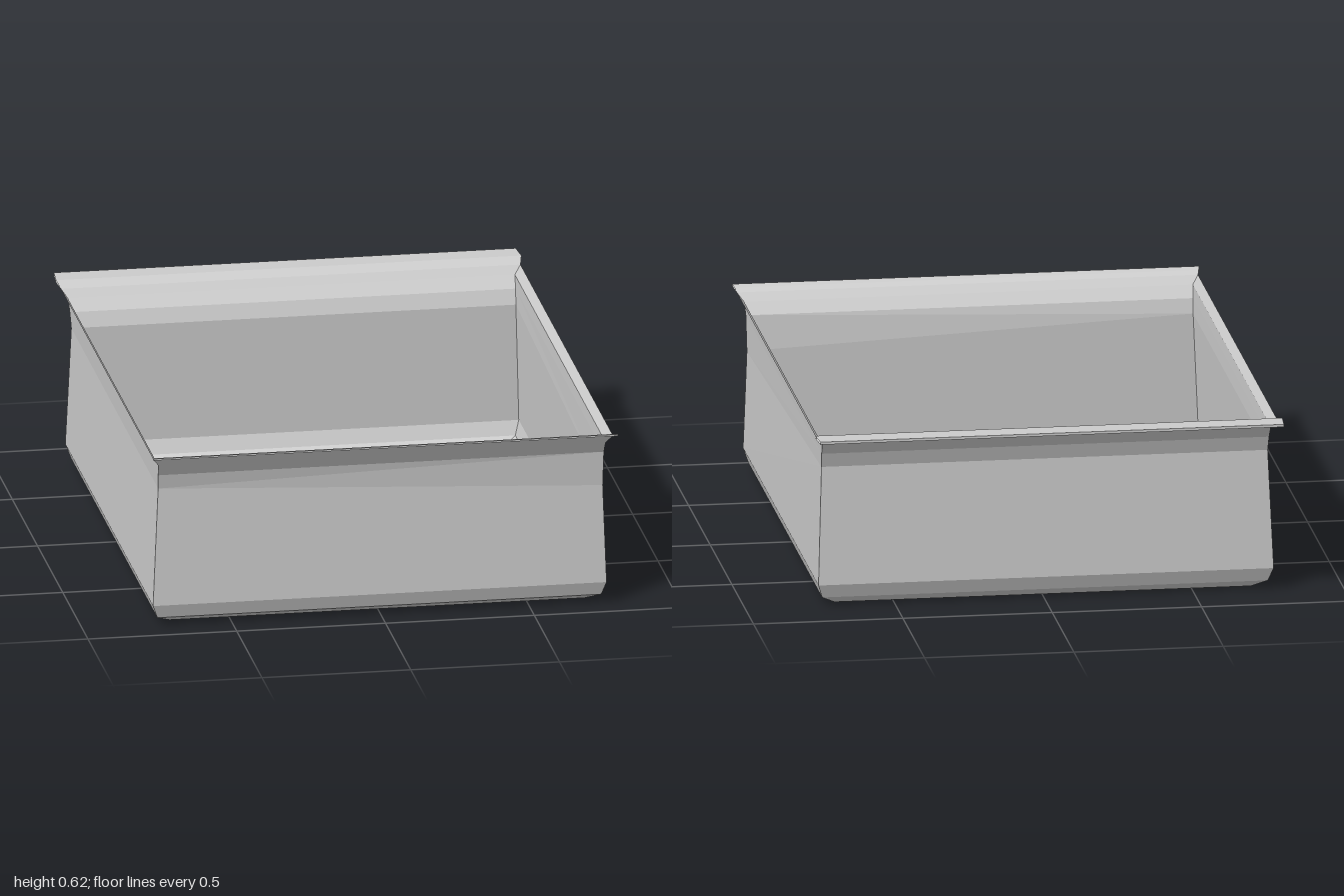
import * as THREE from 'three';

const material = new THREE.MeshStandardMaterial({
  color: 0xcccccc, flatShading: true, side: THREE.DoubleSide,
});

// Collects quads (corners counter-clockwise seen from outside) into one mesh.
function quadMesh(name, quads) {
  const pos = [];
  for (const [a, b, c, d] of quads) pos.push(...a, ...b, ...c, ...a, ...c, ...d);
  const geometry = new THREE.BufferGeometry();
  geometry.setAttribute('position', new THREE.Float32BufferAttribute(pos, 3));
  geometry.computeVertexNormals();
  const mesh = new THREE.Mesh(geometry, material);
  mesh.name = name;
  return mesh;
}

// Rectangular ring; the front edge may tilt between its two corners.
const ring = ({ y, yRight = y, left, right, front, back }) => [
  [left, y, front], [right, yRight, front], [right, y, back], [left, y, back],
];

// Joins two rings with four quads.
const band = (lo, hi) => lo.map((p, i) => {
  const n = (i + 1) % 4;
  return [p, lo[n], hi[n], hi[i]];
});

// Sheet swept across x along a profile of [half width, y, z].
function sheet(name, profile) {
  const quads = [];
  for (let i = 0; i < profile.length - 1; i++) {
    const [x0, y0, z0] = profile[i], [x1, y1, z1] = profile[i + 1];
    quads.push([[-x0, y0, z0], [x0, y0, z0], [x1, y1, z1], [-x1, y1, z1]]);
  }
  return quadMesh(name, quads);
}

export function createModel() {
  const group = new THREE.Group();
  group.name = 'tray';

  // Body cross-sections from the floor up to the flared rim
  const rings = [
    { y: 0, left: -0.70, right: 0.695, front: 0.845, back: -0.765 },
    { y: 0.028, left: -0.75, right: 0.742, front: 0.90, back: -0.805 },
    { y: 0.075, left: -0.767, right: 0.757, front: 0.917, back: -0.825 },
    { y: 0.48, yRight: 0.41, left: -0.748, right: 0.746, front: 0.905, back: -0.817 },
    { y: 0.53, left: -0.75, right: 0.748, front: 0.916, back: -0.835 },
    { y: 0.57, left: -0.752, right: 0.75, front: 0.94, back: -0.862 },
    { y: 0.598, left: -0.772, right: 0.772, front: 0.958, back: -0.88 },
  ].map(ring);

  const [a, b, c, d] = rings[0];
  group.add(quadMesh('floor', [[a, d, c, b]]));

  const walls = [];
  for (let i = 0; i < rings.length - 2; i++) walls.push(...band(rings[i], rings[i + 1]));
  group.add(quadMesh('walls', walls));
  group.add(quadMesh('rim', band(rings[5], rings[6])));

  // Narrow front lip: underside outward, then back over the top
  group.add(sheet('frontLip', [
    [0.772, 0.598, 0.958], [0.777, 0.604, 0.975], [0.782, 0.61, 1],
    [0.782, 0.616, 1], [0.777, 0.61, 0.975], [0.772, 0.598, 0.958],
  ]));

  // Wide flat back lip: over the top outward, then back underneath
  group.add(sheet('backLip', [
    [0.772, 0.598, -0.88], [0.782, 0.616, -0.92], [0.776, 0.616, -1],
    [0.776, 0.607, -1], [0.782, 0.607, -0.92], [0.772, 0.598, -0.88],
  ]));

  return group;
}
